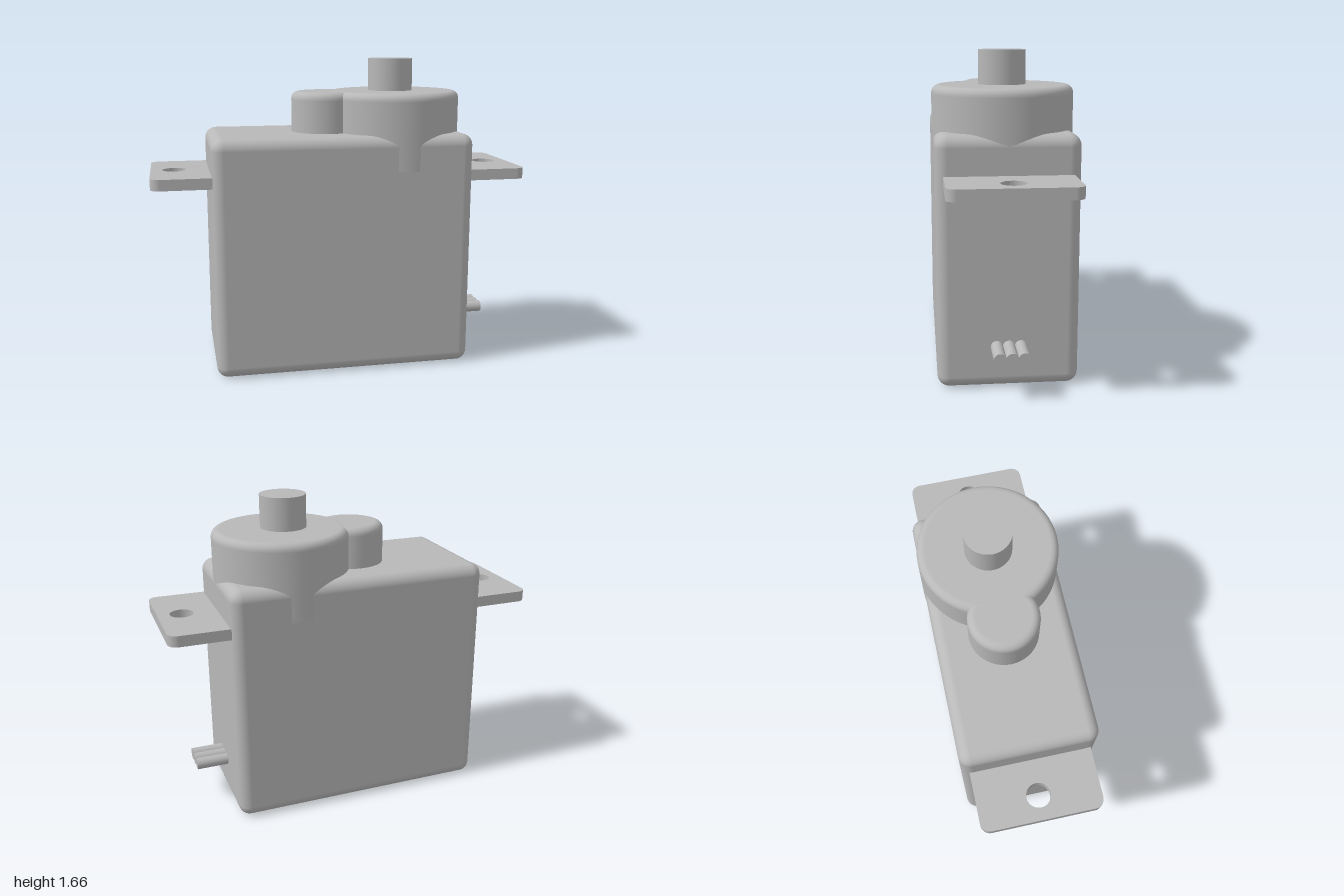
import * as THREE from 'three';
import { RoundedBoxGeometry } from 'three/addons/geometries/RoundedBoxGeometry.js';

const grey = new THREE.MeshStandardMaterial({ color: 0xb8b8b8 });
grey.name = 'grey plastic';

function add(parent, name, geometry, x = 0, y = 0, z = 0) {
  const mesh = new THREE.Mesh(geometry, grey);
  mesh.name = name;
  mesh.position.set(x, y, z);
  parent.add(mesh);
  return mesh;
}

// Upright drum with a rounded top edge
function drum(radius, bottom, top, round) {
  const points = [
    new THREE.Vector2(radius, bottom),
    new THREE.Vector2(radius, top - round - 0.002),
  ];
  for (let i = 0; i <= 8; i++) {
    const a = (i / 8) * Math.PI / 2;
    points.push(new THREE.Vector2(
      radius - round + round * Math.cos(a),
      top - round + round * Math.sin(a)));
  }
  points.push(new THREE.Vector2(radius - round - 0.002, top), new THREE.Vector2(0, top));
  return new THREE.LatheGeometry(points, 64);
}

// Mounting ear: outer corners rounded, one screw hole
function earGeometry(inner, outer, half, thickness) {
  const r = 0.05;
  const shape = new THREE.Shape();
  shape.moveTo(inner, -half);
  shape.lineTo(outer - r, -half);
  shape.absarc(outer - r, -half + r, r, -Math.PI / 2, 0, false);
  shape.lineTo(outer, half - r);
  shape.absarc(outer - r, half - r, r, 0, Math.PI / 2, false);
  shape.lineTo(inner, half);
  shape.closePath();
  const hole = new THREE.Path();
  hole.absarc(0.875, 0, 0.062, 0, Math.PI * 2, true);
  shape.holes.push(hole);
  const geometry = new THREE.ExtrudeGeometry(shape, {
    depth: thickness, bevelEnabled: false, curveSegments: 16,
  });
  return geometry.rotateX(-Math.PI / 2);
}

export function createModel() {
  const model = new THREE.Group();
  model.name = 'servoMotor';

  // Main case
  add(model, 'case', new RoundedBoxGeometry(1.385, 1.27, 0.71, 5, 0.06), 0, 0.635, 0);

  // Gear housing: large drum sunk into the case, with a small side lobe
  add(model, 'gearHousing', drum(0.36, 1.08, 1.487, 0.04), 0.332, 0, 0);
  add(model, 'gearLobe', drum(0.182, 1.2, 1.486, 0.04), -0.053, 0, 0);

  // Output shaft
  add(model, 'outputShaft', new THREE.CylinderGeometry(0.121, 0.121, 0.24, 48), 0.315, 1.54, 0);

  // Mounting ears on both ends
  const ear = earGeometry(0.66, 1, 0.315, 0.058);
  add(model, 'leftEar', ear, 0, 1.018, 0);
  add(model, 'rightEar', ear, 0, 1.018, 0).rotation.y = Math.PI;

  // Three cable wires side by side
  const wire = new THREE.CylinderGeometry(0.031, 0.031, 0.2, 20).rotateZ(Math.PI / 2);
  for (const z of [-0.06, 0, 0.06]) add(model, 'cableWire', wire, 0.762, 0.217, z);

  return model;
}
